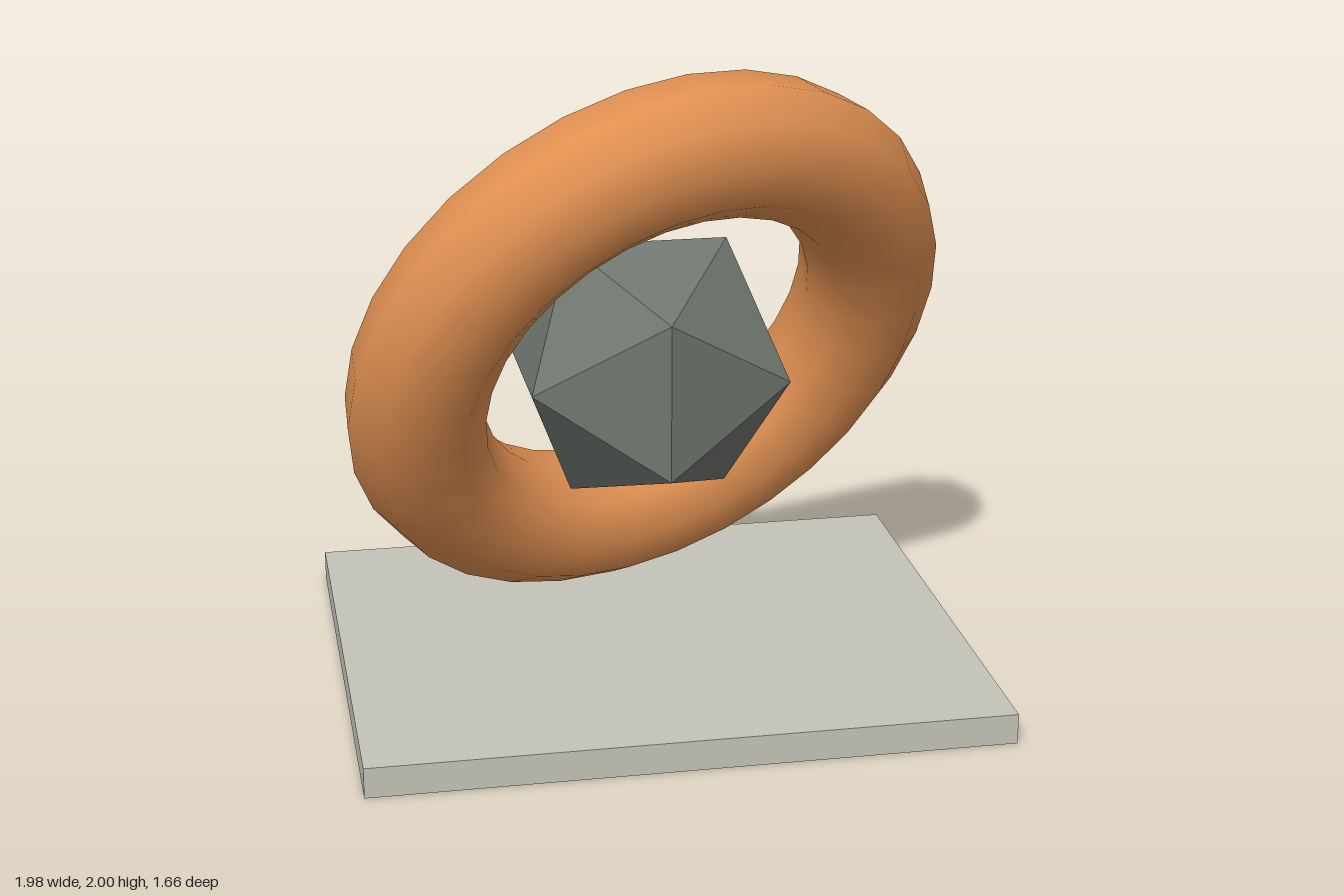
import * as THREE from 'three';

export function createModel() {
  const group = new THREE.Group();
  const material = (name, color, flatShading = false) => {
    const m = new THREE.MeshStandardMaterial({ color, flatShading });
    m.name = name;
    return m;
  };
  const add = (name, geometry, mat, y) => {
    const mesh = new THREE.Mesh(geometry, mat);
    mesh.name = name;
    mesh.position.y = y;
    group.add(mesh);
    return mesh;
  };

  // flat slab on the ground
  add('base', new THREE.BoxGeometry(1.98, 0.096, 1.66), material('pale stone', 0xc4c3b9), 0.048);

  // faceted core floating above it
  add('core', new THREE.IcosahedronGeometry(0.473, 0), material('slate grey', 0x6f766f, true), 1.0);

  // smooth tilted ring around the core
  const ring = add('ring', new THREE.TorusGeometry(0.788, 0.219, 10, 30), material('copper orange', 0xe09052), 1.08);
  ring.rotation.set(0.5, 0.3, 0);

  return group;
}
